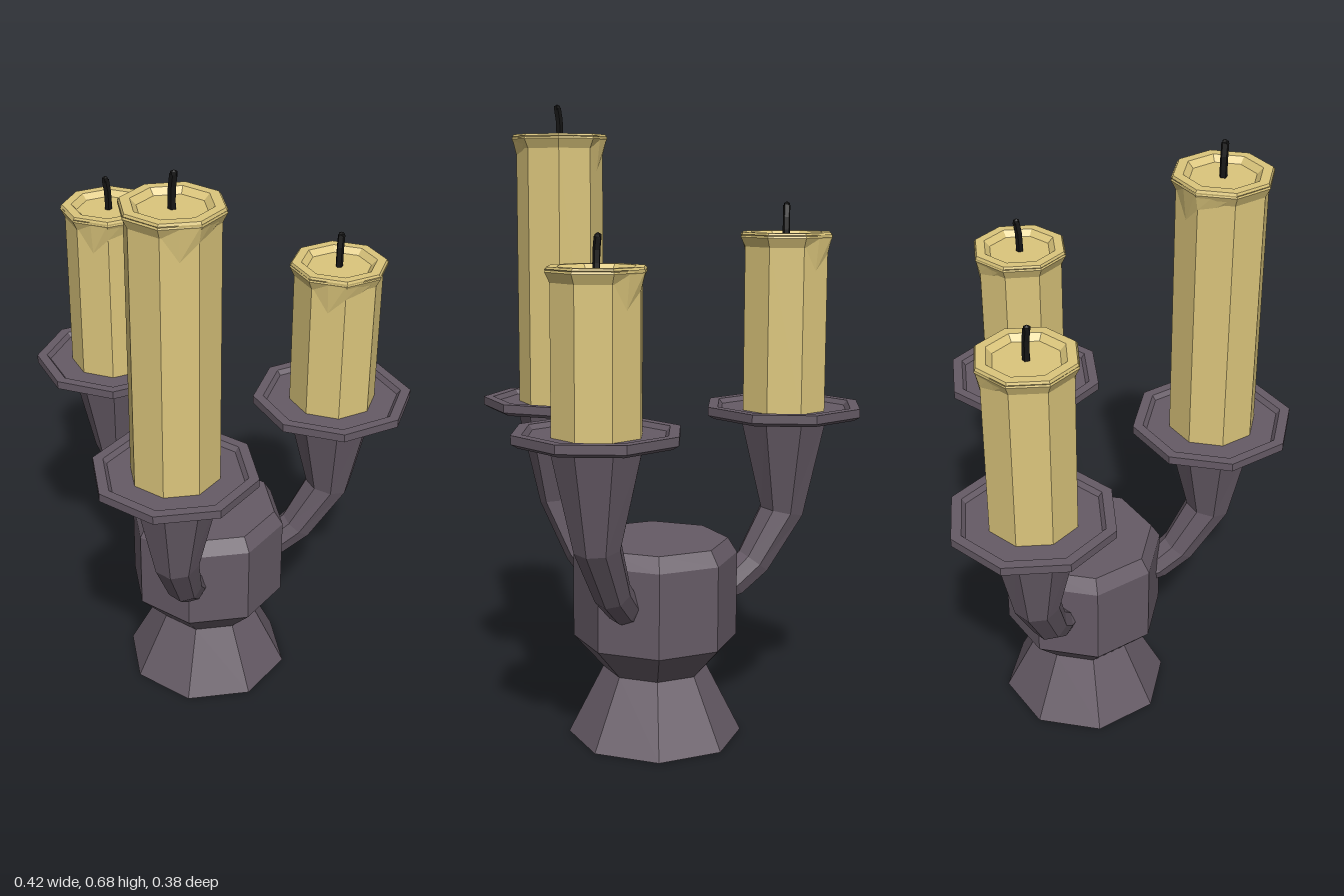
import * as THREE from 'three';

const SIDES = 8;
const paint = (color) => new THREE.MeshStandardMaterial({ color, flatShading: true, side: THREE.DoubleSide });

function add(parent, name, geometry, material) {
  const mesh = new THREE.Mesh(geometry, material);
  mesh.name = name;
  parent.add(mesh);
  return mesh;
}

// Faceted turned shape from [radius, height] pairs, bottom to top
const turned = (points) => new THREE.LatheGeometry(points.map(([r, y]) => new THREE.Vector2(r, y)), SIDES);

// Bent arm widening into a cup: rings of [reach, height, radius, tilt], top to bottom
function armGeometry(reach) {
  const rings = [
    [reach, 0.345, 0.05, 0],
    [reach, 0.237, 0.025, 0.2],
    [reach - 0.033, 0.182, 0.02, 0.65],
    [reach - 0.058, 0.16, 0.018, 0.9],
    [0.055, 0.15, 0.017, 1.2],
  ];
  const geometry = new THREE.CylinderGeometry(1, 1, 1, SIDES, rings.length - 1, true);
  const p = geometry.attributes.position;
  for (let i = 0; i < p.count; i++) {
    const [z, y, r, tilt] = rings[Math.floor(i / (SIDES + 1))];
    const lx = p.getX(i) * r, lz = p.getZ(i) * r;
    p.setXYZ(i, lx, y - lz * Math.sin(tilt), z + lz * Math.cos(tilt));
  }
  geometry.computeVertexNormals();
  return geometry;
}

// Collar of melted wax whose lower edge hangs down in uneven drips
function dripGeometry(top, shift) {
  const n = 16;
  const drops = [0.012, 0.018, 0.009, 0.04, 0.011, 0.008, 0.022, 0.01];
  const geometry = new THREE.CylinderGeometry(0.052, 0.047, 1, n, 1, true);
  const p = geometry.attributes.position;
  for (let i = 0; i < p.count; i++) {
    const k = i % (n + 1) % n;
    const facet = k % 2 ? Math.cos(Math.PI / SIDES) : 1;
    const lower = i > n;
    p.setXYZ(i, p.getX(i) * facet, lower ? top - drops[(k * 3 + shift) % drops.length] : top - 0.002, p.getZ(i) * facet);
  }
  geometry.computeVertexNormals();
  return geometry;
}

export function createModel() {
  const model = new THREE.Group();
  model.name = 'candelabra';
  model.position.set(0.4, 0, -0.112);
  const metal = paint(0x665b66), wax = paint(0xdcc67c), black = paint(0x151515);

  // Flared foot, narrow neck and blunt body
  add(model, 'base', turned([
    [0, 0], [0.0935, 0], [0.056, 0.074], [0.088, 0.109], [0.088, 0.2], [0.078, 0.216], [0, 0.216],
  ]), metal);

  // Three arms: turn about the base, reach and candle top
  const arms = [
    ['front', 0, 0.143, 0.643],
    ['left', 1.88, 0.137, 0.514],
    ['right', -2.079, 0.146, 0.54],
  ];
  arms.forEach(([side, turn, reach, top], index) => {
    const branch = new THREE.Group();
    branch.name = side + 'Branch';
    branch.rotation.y = turn;
    model.add(branch);
    add(branch, 'arm', armGeometry(reach), metal);

    const holder = new THREE.Group();
    holder.name = 'candleHolder';
    holder.position.z = reach;
    branch.add(holder);

    // Drip dish with a thin raised rim
    add(holder, 'dish', turned([
      [0, 0.342], [0.08, 0.342], [0.087, 0.346], [0.087, 0.355], [0.076, 0.355], [0.072, 0.35], [0, 0.35],
    ]), metal);

    // Candle with a slightly hollow top
    add(holder, 'candle', turned([
      [0.047, 0.348], [0.047, top - 0.015], [0.052, top - 0.005], [0.05, top], [0.04, top], [0.034, top - 0.006], [0, top - 0.006],
    ]), wax);
    add(holder, 'waxDrips', dripGeometry(top, index * 2), wax);

    // Wick leaning a little at the tip
    const wickPath = new THREE.CatmullRomCurve3([
      new THREE.Vector3(0, top - 0.01, 0),
      new THREE.Vector3(0, top + 0.012, 0),
      new THREE.Vector3(0.002, top + 0.028, 0.001),
    ]);
    add(holder, 'wick', new THREE.TubeGeometry(wickPath, 3, 0.004, 5), black);
    add(holder, 'wickTip', new THREE.SphereGeometry(0.004, 5, 3), black).position.set(0.002, top + 0.028, 0.001);
  });
  return model;
}
